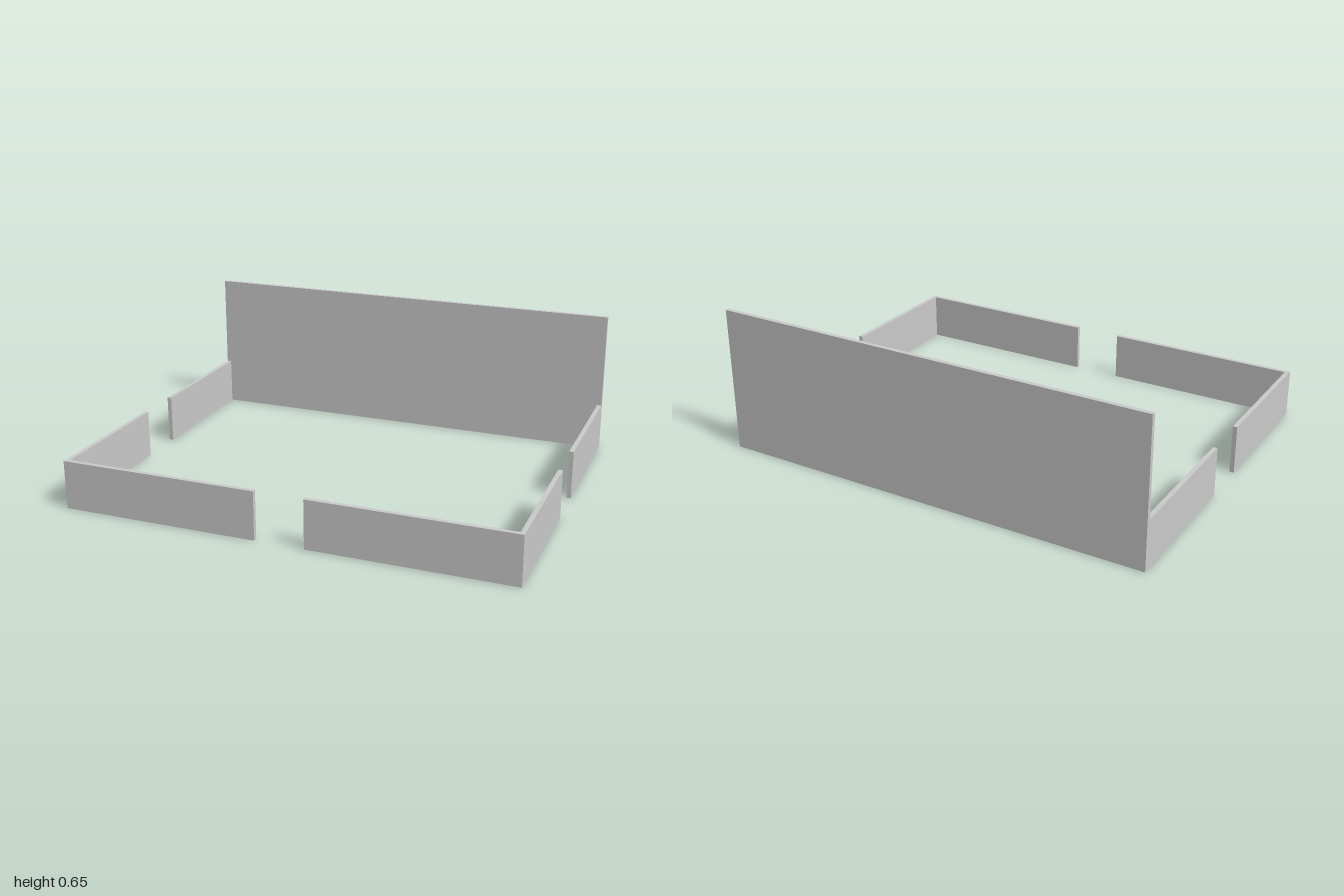
import * as THREE from 'three';

const HALF_W = 1, HALF_D = 0.783, T = 0.02;   // footprint and wall thickness
const LOW = 0.218, HIGH = 0.655, GAP = 0.11;  // wall heights and half-width of openings

export function createModel() {
  const group = new THREE.Group();
  const material = new THREE.MeshStandardMaterial({ color: 0xcccccc });

  // Wall standing on the ground, given its extents in x and z
  const wall = (name, x0, x1, z0, z1, height) => {
    const geometry = new THREE.BoxGeometry(x1 - x0, height, z1 - z0);
    geometry.translate((x0 + x1) / 2, height / 2, (z0 + z1) / 2);
    const mesh = new THREE.Mesh(geometry, material);
    mesh.name = name;
    group.add(mesh);
  };

  // Tall back wall across the full width
  wall('backWall', -HALF_W, HALF_W, -HALF_D, -HALF_D + T, HIGH);

  // Low walls on each side, with openings mid-front and mid-side
  for (const [side, s] of [['left', 1], ['right', -1]]) {
    const span = (a, b) => (s > 0 ? [a, b] : [-b, -a]);
    const inner = HALF_D - T;
    wall(side + 'FrontWall', ...span(GAP, HALF_W), inner, HALF_D, LOW);
    wall(side + 'SideWallFront', ...span(HALF_W - T, HALF_W), GAP, inner, LOW);
    wall(side + 'SideWallBack', ...span(HALF_W - T, HALF_W), -inner, -GAP, LOW);
  }
  return group;
}
